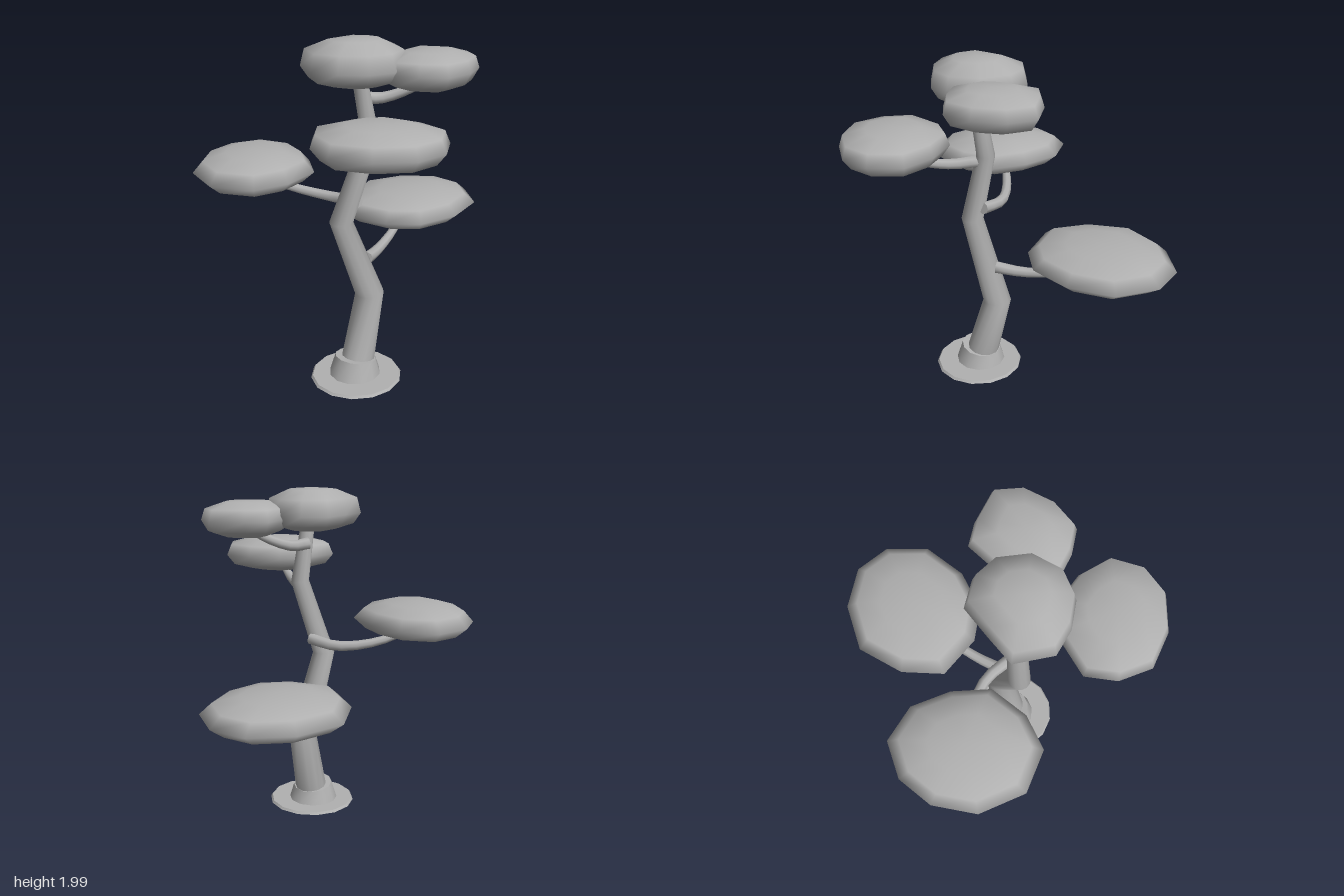
import * as THREE from 'three';
import { mergeVertices, toCreasedNormals } from 'three/addons/utils/BufferGeometryUtils.js';

const V = (x, y, z) => new THREE.Vector3(x, y, z);

// Skin a stack of equal-length rings, skipping triangles that collapse at a pole
function loft(rings) {
  const pos = [];
  const tri = (a, b, c) => {
    if (a.distanceTo(b) < 1e-6 || b.distanceTo(c) < 1e-6 || a.distanceTo(c) < 1e-6) return;
    for (const p of [a, b, c]) pos.push(p.x, p.y, p.z);
  };
  for (let i = 0; i < rings.length - 1; i++) {
    const lo = rings[i], hi = rings[i + 1], n = lo.length;
    for (let j = 0; j < n; j++) {
      const k = (j + 1) % n;
      tri(lo[j], hi[j], lo[k]);
      tri(hi[j], hi[k], lo[k]);
    }
  }
  const geo = new THREE.BufferGeometry();
  geo.setAttribute('position', new THREE.Float32BufferAttribute(pos, 3));
  return geo;
}

// Ring of points around a centre, square to a direction
function ring(c, dir, r, sides) {
  const t = dir.clone().normalize();
  const ref = Math.abs(t.y) > 0.75 ? V(1, 0, 0) : V(0, 1, 0);
  const u = ref.addScaledVector(t, -ref.dot(t)).normalize();
  const v = u.clone().cross(t);
  return Array.from({ length: sides }, (_, j) => {
    const a = (j / sides) * Math.PI * 2;
    return c.clone().addScaledVector(u, r * Math.cos(a)).addScaledVector(v, r * Math.sin(a));
  });
}

// Tapered limb with closed ends
function limb(pts, radii, sides) {
  const dir = (i) => pts[Math.min(i + 1, pts.length - 1)].clone().sub(pts[Math.max(i - 1, 0)]);
  const rings = pts.map((p, i) => ring(p, dir(i), radii[i], sides));
  const end = pts.length - 1;
  rings.unshift(ring(pts[0], dir(0), 0, sides));
  rings.push(ring(pts[end], dir(end), 0, sides));
  return toCreasedNormals(loft(rings), 0.9);
}

// Flattened foliage pad grown from its outline seen from above
function pad({ outline, low, rim, high, profile }) {
  const n = outline.length;
  const cx = outline.reduce((s, p) => s + p[0], 0) / n;
  const cz = outline.reduce((s, p) => s + p[1], 0) / n;
  const rings = profile.map(([s, h]) => outline.map(([x, z]) =>
    V(cx + (x - cx) * s, rim + h * (h > 0 ? high - rim : rim - low), cz + (z - cz) * s)));
  const geo = mergeVertices(loft(rings), 1e-5);
  geo.computeVertexNormals();
  return geo;
}

const flatPad = [[0, -1], [0.45, -0.92], [0.8, -0.62], [1, 0], [0.84, 0.56], [0.48, 0.9], [0, 1]];
const plumpPad = [[0, -1], [0.5, -0.92], [0.86, -0.6], [1, 0], [0.92, 0.6], [0.5, 0.93], [0, 1]];

const pads = {
  rightSidePad: { low: 0.77, rim: 0.87, high: 0.975, profile: flatPad, outline: [
    [0, -0.23], [0.17, -0.42], [0.44, -0.525], [0.71, -0.42], [0.87, -0.22],
    [0.87, 0], [0.71, 0.2], [0.44, 0.26], [0.19, 0.2], [0.05, 0.04]] },
  backPad: { low: 1.14, rim: 1.24, high: 1.35, profile: flatPad, outline: [
    [-0.4, -0.835], [-0.2, -0.76], [-0.13, -0.55], [-0.2, -0.33], [-0.33, -0.15],
    [-0.56, -0.1], [-0.76, -0.15], [-0.875, -0.37], [-0.8, -0.63], [-0.61, -0.79]] },
  frontPad: { low: 1.46, rim: 1.56, high: 1.67, profile: plumpPad, outline: [
    [-0.64, 0.18], [-0.4, 0.22], [-0.26, 0.33], [-0.21, 0.53], [-0.24, 0.72],
    [-0.4, 0.825], [-0.58, 0.81], [-0.74, 0.675], [-0.83, 0.48], [-0.77, 0.3]] },
  crownPad: { low: 1.75, rim: 1.85, high: 2, profile: plumpPad, outline: [
    [-0.43, -0.13], [-0.25, -0.13], [-0.07, -0.125], [0.02, 0], [0.03, 0.14],
    [-0.07, 0.3], [-0.24, 0.365], [-0.38, 0.32], [-0.48, 0.2], [-0.53, 0.06]] },
  upperFrontPad: { low: 1.725, rim: 1.83, high: 1.935, profile: plumpPad, outline: [
    [-0.03, 0.13], [0.18, 0.105], [0.26, 0.21], [0.34, 0.39], [0.25, 0.52],
    [0.08, 0.59], [-0.09, 0.585], [-0.18, 0.47], [-0.24, 0.33], [-0.18, 0.2]] },
};

const branches = {
  rightSideBranch: [V(-0.15, 0.73, 0.08), V(0, 0.715, 0.02), V(0.2, 0.74, -0.05), V(0.4, 0.81, -0.12)],
  backBranch: [V(-0.23, 1.1, 0.09), V(-0.23, 1.08, -0.1), V(-0.33, 1.11, -0.3), V(-0.47, 1.18, -0.46)],
  frontBranch: [V(-0.2, 1.42, 0.14), V(-0.32, 1.41, 0.25), V(-0.42, 1.44, 0.37), V(-0.51, 1.5, 0.48)],
  upperFrontBranch: [V(-0.2, 1.68, 0.09), V(-0.12, 1.67, 0.15), V(-0.03, 1.71, 0.25), V(0.04, 1.77, 0.34)],
};

export function createModel() {
  const group = new THREE.Group();
  const grey = new THREE.MeshStandardMaterial({ color: 0xb0b0b0 });
  grey.name = 'plain grey';
  const add = (name, geo) => {
    const mesh = new THREE.Mesh(geo, grey);
    mesh.name = name;
    group.add(mesh);
    return mesh;
  };

  // Zigzag trunk, thinning upwards
  const trunk = [V(-0.275, 0.035, 0.1), V(-0.14, 0.515, 0.09), V(-0.332, 1, 0.06),
    V(-0.172, 1.46, 0.13), V(-0.25, 1.82, 0.12)];
  add('trunk', limb(trunk, [0.1, 0.084, 0.066, 0.053, 0.04], 12));

  // Branches, each a bent taper
  for (const [name, pts] of Object.entries(branches)) {
    const path = new THREE.CatmullRomCurve3(pts).getPoints(8);
    add(name, limb(path, path.map((_, i) => 0.036 - 0.0018 * i), 8));
  }

  // Foliage
  for (const [name, spec] of Object.entries(pads)) add(name, pad(spec));

  // Flared collar around the trunk foot, its top slightly tilted
  const up = V(0, 1, 0), lean = V(0.17, 1, 0), top = V(-0.265, 0.145, 0.095);
  add('rootCollar', toCreasedNormals(loft([
    ring(V(-0.272, 0.045, 0.095), up, 0.15, 12),
    ring(top, lean, 0.12, 12), ring(top, lean, 0, 12)]), 0.7));

  // Thin ground disc
  const disc = add('groundDisc', toCreasedNormals(new THREE.CylinderGeometry(0.255, 0.265, 0.014, 14), 0.7));
  disc.position.set(-0.275, 0.04, 0.108);

  return group;
}
